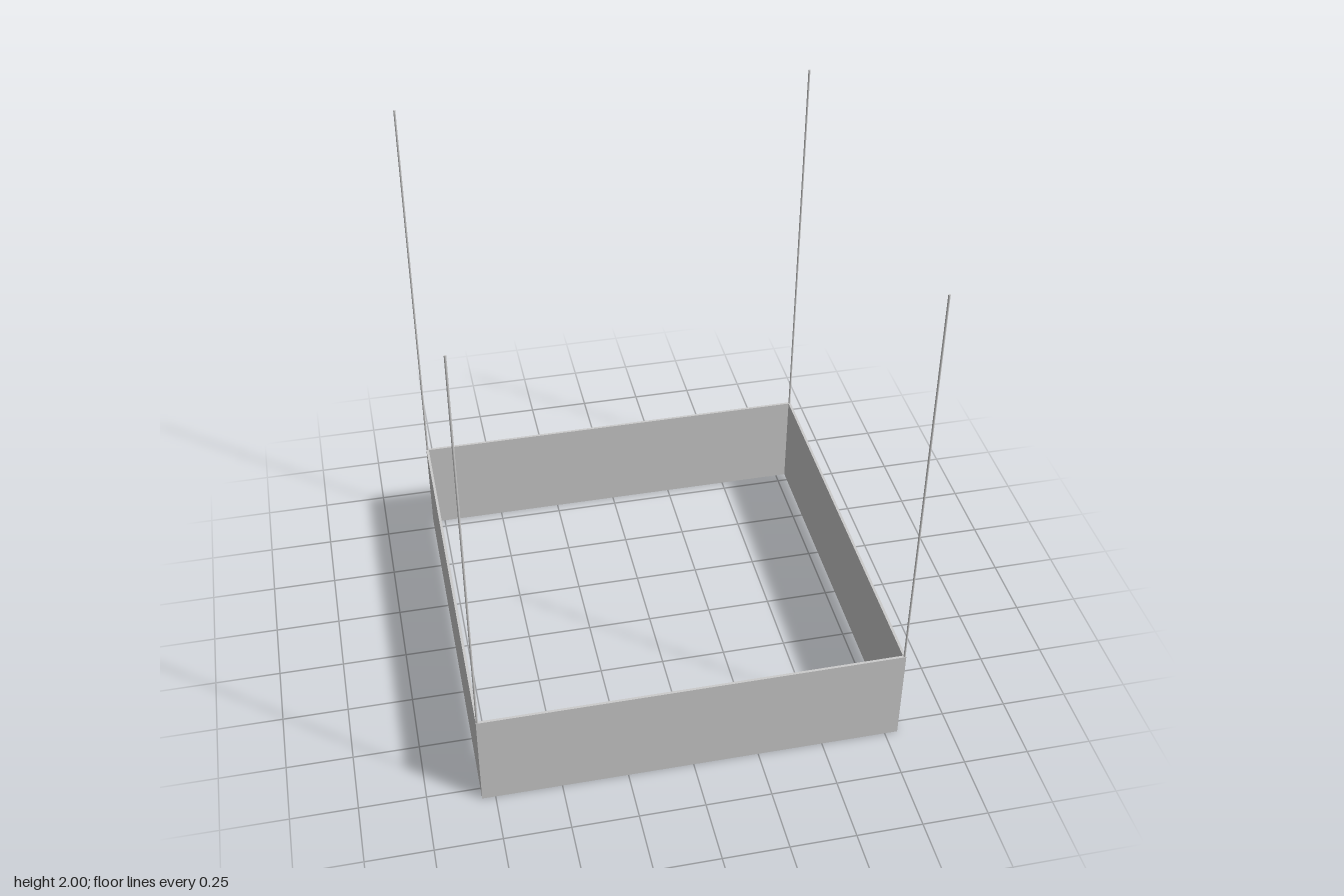
import * as THREE from 'three';

const HALF = 0.8, WALL = 0.01, FRAME_H = 0.4, TOTAL_H = 2, WIRE_R = 0.004;

const square = (Type, h) => new Type([
  new THREE.Vector2(-h, -h), new THREE.Vector2(h, -h),
  new THREE.Vector2(h, h), new THREE.Vector2(-h, h),
]);

export function createModel() {
  const group = new THREE.Group();
  group.name = 'hangingFrame';
  const material = new THREE.MeshStandardMaterial({ color: 0xcccccc });

  // Thin-walled square frame, open above and below
  const outline = square(THREE.Shape, HALF);
  outline.holes.push(square(THREE.Path, HALF - WALL));
  const frameGeometry = new THREE.ExtrudeGeometry(outline, { depth: FRAME_H, bevelEnabled: false });
  frameGeometry.rotateX(-Math.PI / 2);
  const frame = new THREE.Mesh(frameGeometry, material);
  frame.name = 'frame';
  group.add(frame);

  // A suspension wire rising from each corner
  const wireLength = TOTAL_H - FRAME_H;
  const wireGeometry = new THREE.CylinderGeometry(WIRE_R, WIRE_R, wireLength, 12);
  const corner = HALF - WALL / 2;
  for (const [sideX, x] of [['Left', 1], ['Right', -1]]) {
    for (const [sideZ, z] of [['front', 1], ['back', -1]]) {
      const wire = new THREE.Mesh(wireGeometry, material);
      wire.name = `${sideZ}${sideX}Wire`;
      wire.position.set(x * corner, FRAME_H + wireLength / 2, z * corner);
      group.add(wire);
    }
  }
  return group;
}
